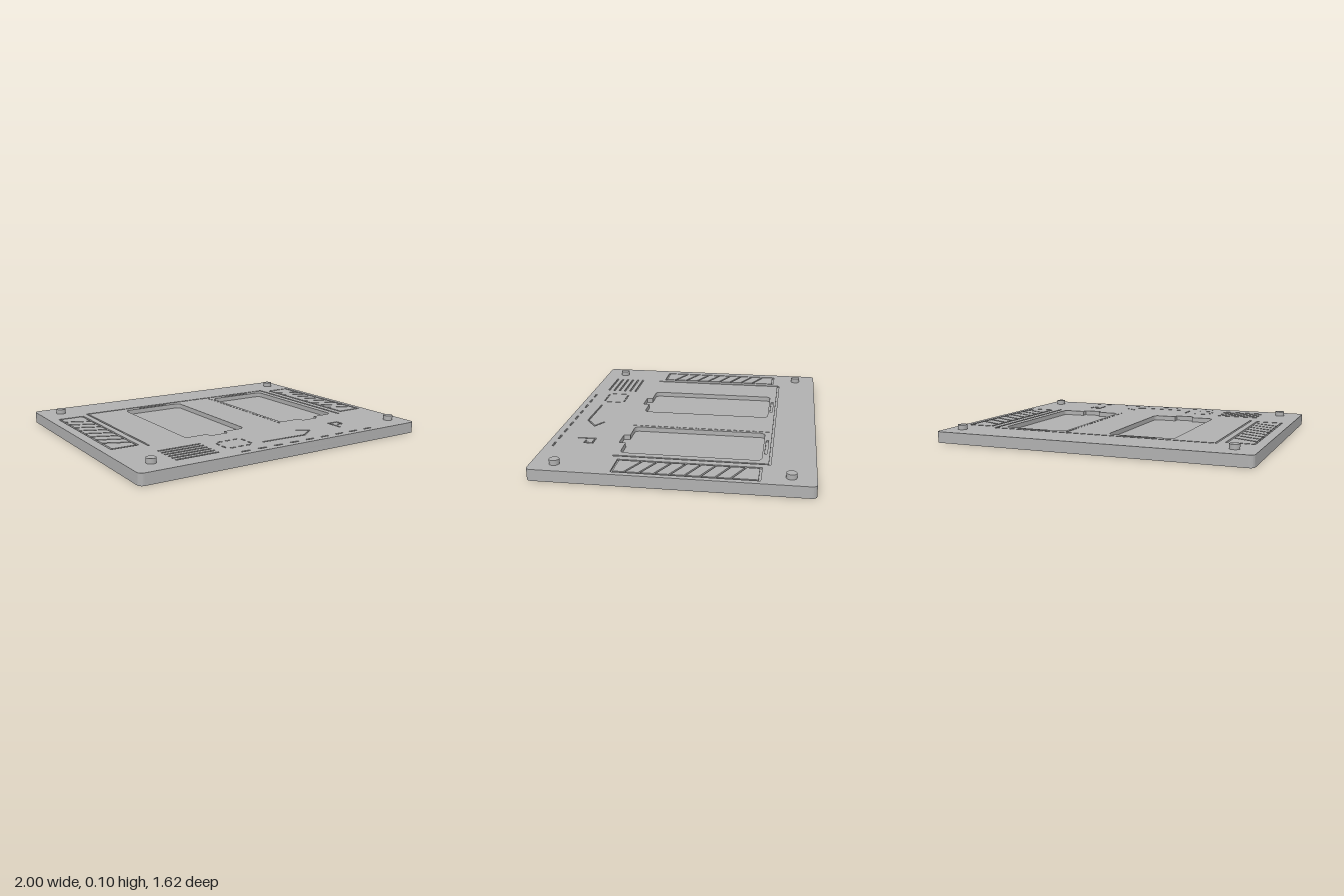
import * as THREE from 'three';
import { toCreasedNormals } from 'three/addons/utils/BufferGeometryUtils.js';

const HX = 1, HZ = 0.81, TOP = 0.07, GROOVE = 0.01, POCKET = 0.03;

// Shapes are drawn in plan as (x, z); z is flipped so extrusion can be turned upright
const toV = (pts) => pts.map(([x, z]) => new THREE.Vector2(x, -z));
const rect = (x0, z0, x1, z1) => [[x0, z0], [x1, z0], [x1, z1], [x0, z1]];

// Outline of a line of given width along a path, with mitred corners
function stroke(pts, w = 0.012) {
  const p = pts.map(([x, z]) => new THREE.Vector2(x, z));
  const left = [], right = [];
  p.forEach((q, i) => {
    const a = q.clone().sub(p[Math.max(i - 1, 0)]).normalize();
    const b = p[Math.min(i + 1, p.length - 1)].clone().sub(q).normalize();
    const d0 = i === 0 ? b : a, d1 = i === p.length - 1 ? a : b;
    const n0 = new THREE.Vector2(-d0.y, d0.x), n1 = new THREE.Vector2(-d1.y, d1.x);
    const m = n0.clone().add(n1).normalize();
    m.multiplyScalar(w / 2 / m.dot(n0));
    left.push([q.x + m.x, q.y + m.y]);
    right.unshift([q.x - m.x, q.y - m.y]);
  });
  return [...left, ...right];
}

// Evenly spaced dashes between two points
function dashes(a, b, count, fill = 0.55, w = 0.012) {
  const at = (t) => [a[0] + (b[0] - a[0]) * t, a[1] + (b[1] - a[1]) * t];
  return Array.from({ length: count }, (_, i) =>
    stroke([at(i / (count - 1 + fill)), at((i + fill) / (count - 1 + fill))], w));
}

function roundedOutline(r) {
  const s = new THREE.Shape();
  s.moveTo(-HX + r, -HZ);
  s.lineTo(HX - r, -HZ).absarc(HX - r, -HZ + r, r, -Math.PI / 2, 0);
  s.lineTo(HX, HZ - r).absarc(HX - r, HZ - r, r, 0, Math.PI / 2);
  s.lineTo(-HX + r, HZ).absarc(-HX + r, HZ - r, r, Math.PI / 2, Math.PI);
  s.lineTo(-HX, -HZ + r).absarc(-HX + r, -HZ + r, r, Math.PI, Math.PI * 1.5);
  return s;
}

// Card-shaped pocket with rounded corners and a finger notch at the front
function pocketOutline(dx) {
  const x0 = -0.455 + dx, x1 = -0.03 + dx, z0 = -0.495, z1 = 0.34, r = 0.03;
  const pts = [];
  const corner = (cx, cz, start) => {
    for (let i = 0; i <= 6; i++) {
      const t = start + (i / 6) * Math.PI / 2;
      pts.push([cx + r * Math.cos(t), cz + r * Math.sin(t)]);
    }
  };
  corner(x0 + r, z0 + r, Math.PI);
  corner(x1 - r, z0 + r, Math.PI * 1.5);
  corner(x1 - r, z1 - r, 0);
  pts.push([-0.18 + dx, z1], [-0.18 + dx, 0.38], [-0.305 + dx, 0.38], [-0.305 + dx, z1]);
  corner(x0 + r, z1 - r, Math.PI / 2);
  return pts;
}

export function createModel() {
  const group = new THREE.Group();
  const grey = new THREE.MeshStandardMaterial({ color: 0xb0b0b0 });
  grey.name = 'plain grey';

  const slab = (name, shape, y0, y1) => {
    let geo = new THREE.ExtrudeGeometry(shape, { depth: y1 - y0, bevelEnabled: false, curveSegments: 8 });
    geo.rotateX(-Math.PI / 2);
    geo = toCreasedNormals(geo, 0.6);
    const mesh = new THREE.Mesh(geo, grey);
    mesh.name = name;
    mesh.position.y = y0;
    group.add(mesh);
  };
  const plate = (name, holes, y0, y1) => {
    const shape = roundedOutline(0.03);
    shape.holes = holes.map((h) => new THREE.Path(toV(h)));
    slab(name, shape, y0, y1);
  };

  const pocketOffsets = [0, 0.72];
  const pockets = pocketOffsets.map(pocketOutline);
  const grooves = [];

  // Frame around the pockets, with a dashed divider and a slot behind each pocket
  grooves.push(stroke([[-0.72, 0.37], [-0.72, -0.545], [0.74, -0.545], [0.74, 0.37]]));
  grooves.push(...dashes([0.24, -0.52], [0.24, 0.36], 22, 0.6, 0.008));
  pocketOffsets.forEach((dx) => grooves.push(rect(-0.34 + dx, -0.523, -0.13 + dx, -0.508)));

  // Vent lines and the dashed line along the front
  for (let i = 0; i < 6; i++) grooves.push(stroke([[-0.73, 0.5 + i * 0.04], [-0.45, 0.5 + i * 0.04]]));
  grooves.push(...dashes([-0.34, 0.765], [0.65, 0.765], 9, 0.5));

  // Bent trace and small marks
  grooves.push(stroke([[-0.12, 0.665], [0.19, 0.675], [0.285, 0.605], [0.21, 0.56]], 0.01));
  grooves.push(stroke([[0.5, 0.65], [0.5, 0.54], [0.57, 0.54], [0.57, 0.59], [0.53, 0.59]], 0.01));
  [0.53, 0.67].forEach((z) => grooves.push(...dashes([-0.35, z], [-0.21, z], 3, 0.6, 0.01)));
  [-0.37, -0.19].forEach((x) => grooves.push(...dashes([x, 0.55], [x, 0.65], 2, 0.6, 0.01)));

  // Hatched side panels: a sunken rectangle filled with slanted raised cells
  const panels = [-0.94, 0.79];
  const panelW = 0.175, z0 = -0.505, z1 = 0.33, cells = 9, slant = 0.07, gap = 0.012;
  panels.forEach((x) => grooves.push(rect(x, z0, x + panelW, z1)));

  plate('baseSlab', [], 0, TOP - POCKET);
  plate('pocketLayer', pockets, TOP - POCKET, TOP - GROOVE);
  plate('engravedTop', [...pockets, ...grooves], TOP - GROOVE, TOP);

  panels.forEach((x) => {
    const step = (z1 - z0 - slant) / cells;
    for (let i = 0; i < cells; i++) {
      const a = z0 + i * step + gap, b = z0 + (i + 1) * step;
      const first = i === 0, last = i === cells - 1;
      const pts = [
        [x + gap, a],
        [x + panelW - gap, first ? a : a + slant],
        [x + panelW - gap, last ? z1 - gap : b + slant],
        [x + gap, last ? z1 - gap : b],
      ];
      slab('hatchCell', new THREE.Shape(toV(pts)), TOP - GROOVE, TOP);
    }
  });

  // Locating pegs
  const pegGeo = new THREE.CylinderGeometry(0.03, 0.03, 0.03, 32);
  for (const x of [-0.86, 0.9]) {
    for (const z of [-0.67, 0.67]) {
      const peg = new THREE.Mesh(pegGeo, grey);
      peg.name = 'peg';
      peg.position.set(x, TOP + 0.015, z);
      group.add(peg);
    }
  }
  return group;
}
